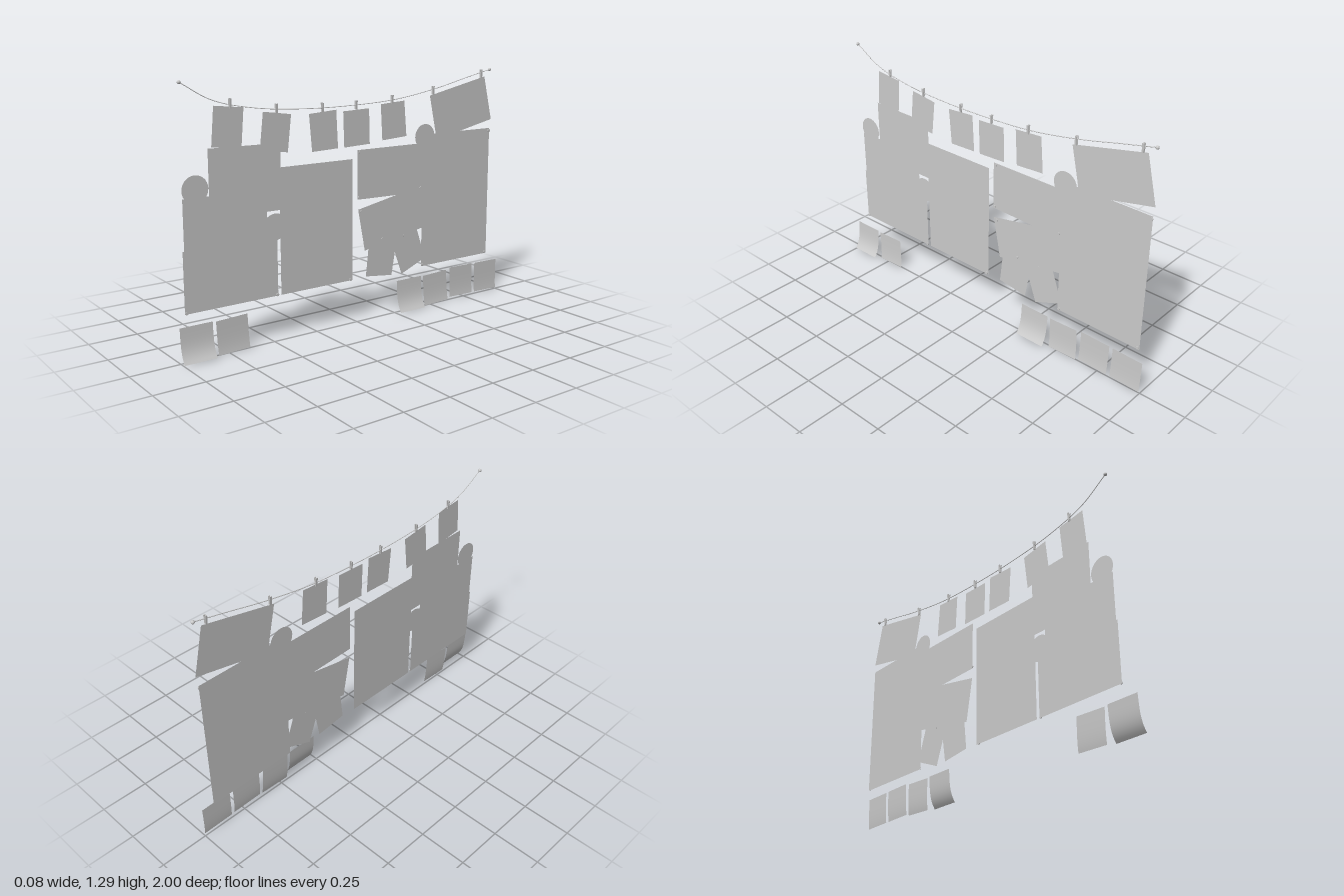
import * as THREE from 'three';

const paper = new THREE.MeshStandardMaterial({ color: 0xcccccc, side: THREE.DoubleSide });

// Everything is drawn in a flat (u, v) plane, then turned to face +x (u runs toward -z)
const at = (u, v, x) => new THREE.Vector3(x, v, -u);

export function createModel() {
  const group = new THREE.Group();
  const add = (name, geometry) => {
    const mesh = new THREE.Mesh(geometry, paper);
    mesh.name = name;
    group.add(mesh);
    return mesh;
  };
  const sheet = (name, points, x) => {
    const shape = new THREE.Shape(points.map(p => new THREE.Vector2(...p)));
    const mesh = add(name, new THREE.ShapeGeometry(shape).rotateY(Math.PI / 2));
    mesh.position.x = x;
    return mesh;
  };

  // Large wall sheets
  sheet('leftWallSheet', [
    [-0.953, 0.222], [-0.953, 0.521], [-0.945, 0.521], [-0.945, 0.762], [-0.811, 0.762], [-0.811, 0.981],
    [-0.426, 0.976], [-0.426, 0.858], [0, 0.858], [0, 0.222], [-0.434, 0.222], [-0.434, 0.65],
    [-0.506, 0.65], [-0.506, 0.618], [-0.452, 0.618], [-0.452, 0.222],
  ], -0.037);
  sheet('rightWallSheet', [
    [0.032, 0.901], [0.463, 0.901], [0.463, 0.947], [0.953, 0.947], [0.953, 0.219], [0.463, 0.219],
    [0.463, 0.436], [0.426, 0.43], [0.099, 0.372], [0.078, 0.366], [0.035, 0.591], [0.286, 0.639], [0.032, 0.644],
  ], -0.037);
  sheet('shortsCutout', [
    [0.099, 0.372], [0.083, 0.227], [0.254, 0.206], [0.276, 0.329], [0.324, 0.2], [0.487, 0.265],
    [0.41, 0.484], [0.313, 0.414], [0.137, 0.414],
  ], -0.034);

  // Round cutouts
  for (const [u, v] of [[-0.881, 0.8], [-0.463, 0.57], [0.476, 0.936]]) {
    const disc = add('roundCutout', new THREE.CircleGeometry(0.067, 28).rotateY(Math.PI / 2));
    disc.position.copy(at(u, v, -0.035));
  }

  // Pins
  const pinSpots = [
    [-0.945, 0.228], [-0.457, 0.228], [-0.015, 0.228], [0.045, 0.89], [0.04, 0.655], [0.055, 0.58],
    [0.948, 0.933], [0.94, 0.228], [0.474, 0.228], [0.452, 0.66], [0.195, 0.414], [0.34, 0.414],
  ];
  for (const [u, v] of pinSpots) {
    const pin = add('pin', new THREE.CylinderGeometry(0.008, 0.008, 0.004, 10).rotateZ(Math.PI / 2));
    pin.position.copy(at(u, v, -0.034));
  }

  // Sagging string with an end knob on each side
  const line = [
    [-0.94, 1.286], [-0.784, 1.2], [-0.57, 1.152], [-0.302, 1.131], [0.019, 1.131],
    [0.286, 1.147], [0.554, 1.19], [0.768, 1.238], [0.94, 1.275],
  ].map(([u, v]) => at(u, v, -0.035));
  add('string', new THREE.TubeGeometry(new THREE.CatmullRomCurve3(line), 60, 0.002, 6));
  for (const end of [line[0], line[line.length - 1]]) {
    add('stringKnob', new THREE.SphereGeometry(0.009, 12, 8)).position.copy(end);
  }

  // Sheets hanging from the string
  const hanging = [
    [[-0.779, 1.174], [-0.624, 1.158], [-0.64, 0.965], [-0.795, 0.987]],
    [[-0.522, 1.131], [-0.367, 1.11], [-0.388, 0.928], [-0.543, 0.944]],
    [[-0.265, 1.104], [-0.104, 1.115], [-0.094, 0.922], [-0.249, 0.917]],
    [[-0.062, 1.104], [0.099, 1.11], [0.104, 0.928], [-0.056, 0.922]],
    [[0.174, 1.126], [0.329, 1.136], [0.345, 0.949], [0.185, 0.939]],
    [[0.506, 1.152], [0.902, 1.238], [0.961, 0.997], [0.559, 0.912]],
  ];
  hanging.forEach((corners, i) => sheet('hangingSheet', corners, i === 5 ? -0.034 : -0.031));

  // Clothespins: two slim jaws either side of the string
  const clips = [
    [-0.693, 1.18], [-0.447, 1.142], [-0.185, 1.131], [0.019, 1.131], [0.249, 1.147], [0.527, 1.179], [0.875, 1.254],
  ];
  for (const [u, v] of clips) {
    for (const side of [-1, 1]) {
      const jaw = add('clothespinJaw', new THREE.BoxGeometry(0.004, 0.045, 0.01));
      jaw.position.copy(at(u, v, -0.033 + side * 0.004));
      jaw.rotation.z = -side * 0.06;
    }
  }

  // Low notes whose lower edge curls outward: u, v, curl depth, tilt
  const notes = [
    [-0.916, 0.093, 0.04, 0], [-0.728, 0.092, 0.009, 0.04], [0.348, 0.094, 0.04, 0],
    [0.535, 0.094, 0.011, 0.04], [0.725, 0.104, 0.008, -0.02], [0.913, 0.1, 0.006, -0.02],
  ];
  for (const [u, v, curl, tilt] of notes) {
    const geo = new THREE.PlaneGeometry(0.168, 0.168, 1, 12);
    const pos = geo.attributes.position;
    for (let i = 0; i < pos.count; i++) {
      const t = 0.5 - pos.getY(i) / 0.168;
      pos.setZ(i, curl * (0.25 * t + 0.75 * t ** 4));
    }
    geo.computeVertexNormals();
    geo.rotateZ(tilt).rotateY(Math.PI / 2);
    add('curledNote', geo).position.copy(at(u, v, 0));
  }
  return group;
}
